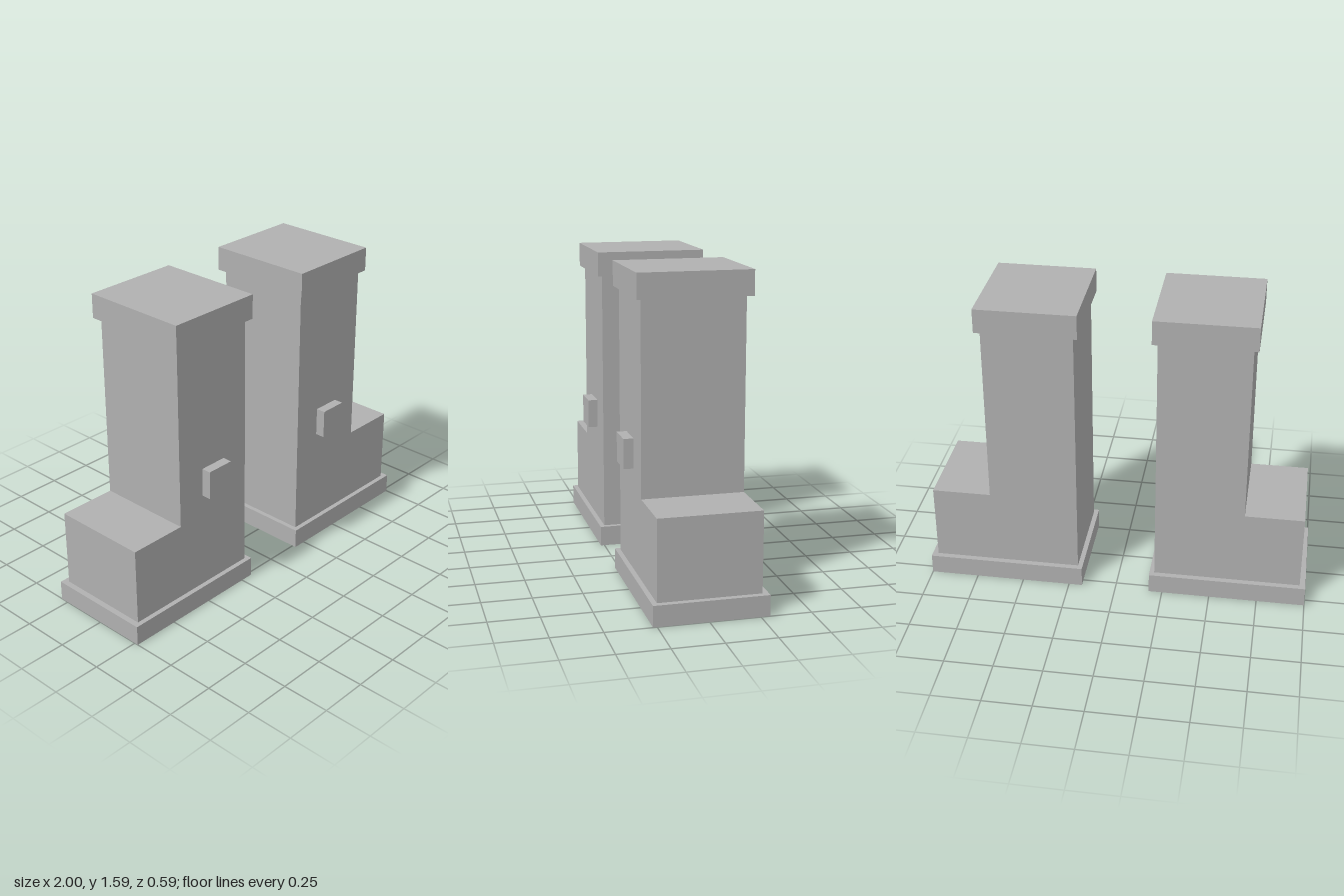
import * as THREE from 'three';

const stone = new THREE.MeshStandardMaterial({ color: 0xb0b0b0 });
stone.name = 'stoneGrey';

// Box given by its extents, mirrored to either side
function block(name, side, [x0, x1], [y0, y1], [z0, z1]) {
  const mesh = new THREE.Mesh(new THREE.BoxGeometry(x1 - x0, y1 - y0, z1 - z0), stone);
  mesh.position.set((side * (x0 + x1)) / 2, (y0 + y1) / 2, (z0 + z1) / 2);
  mesh.name = name;
  return mesh;
}

// L-shaped pillar: tall shaft with a low shoulder on the outer side
function pillarBody(side) {
  const outline = [[0.205, 0.105], [0.97, 0.105], [0.97, 0.51], [0.665, 0.51], [0.665, 1.465], [0.205, 1.465]];
  const shape = new THREE.Shape(outline.map(([x, y]) => new THREE.Vector2(side * x, y)));
  const geometry = new THREE.ExtrudeGeometry(shape, { depth: 0.51, bevelEnabled: false });
  geometry.translate(0, 0, -0.265);
  const mesh = new THREE.Mesh(geometry, stone);
  mesh.name = 'pillarBody';
  return mesh;
}

export function createModel() {
  const model = new THREE.Group();
  model.name = 'gatePosts';
  for (const side of [1, -1]) {
    const post = new THREE.Group();
    post.name = side > 0 ? 'leftPost' : 'rightPost';
    post.add(
      block('basePlinth', side, [0.18, 1], [0, 0.105], [-0.295, 0.27]),
      pillarBody(side),
      block('capstone', side, [0.18, 0.69], [1.465, 1.59], [-0.295, 0.27]),
      block('frontPlaque', side, [0.36, 0.51], [0.62, 0.77], [0.245, 0.295]),
    );
    model.add(post);
  }
  return model;
}
